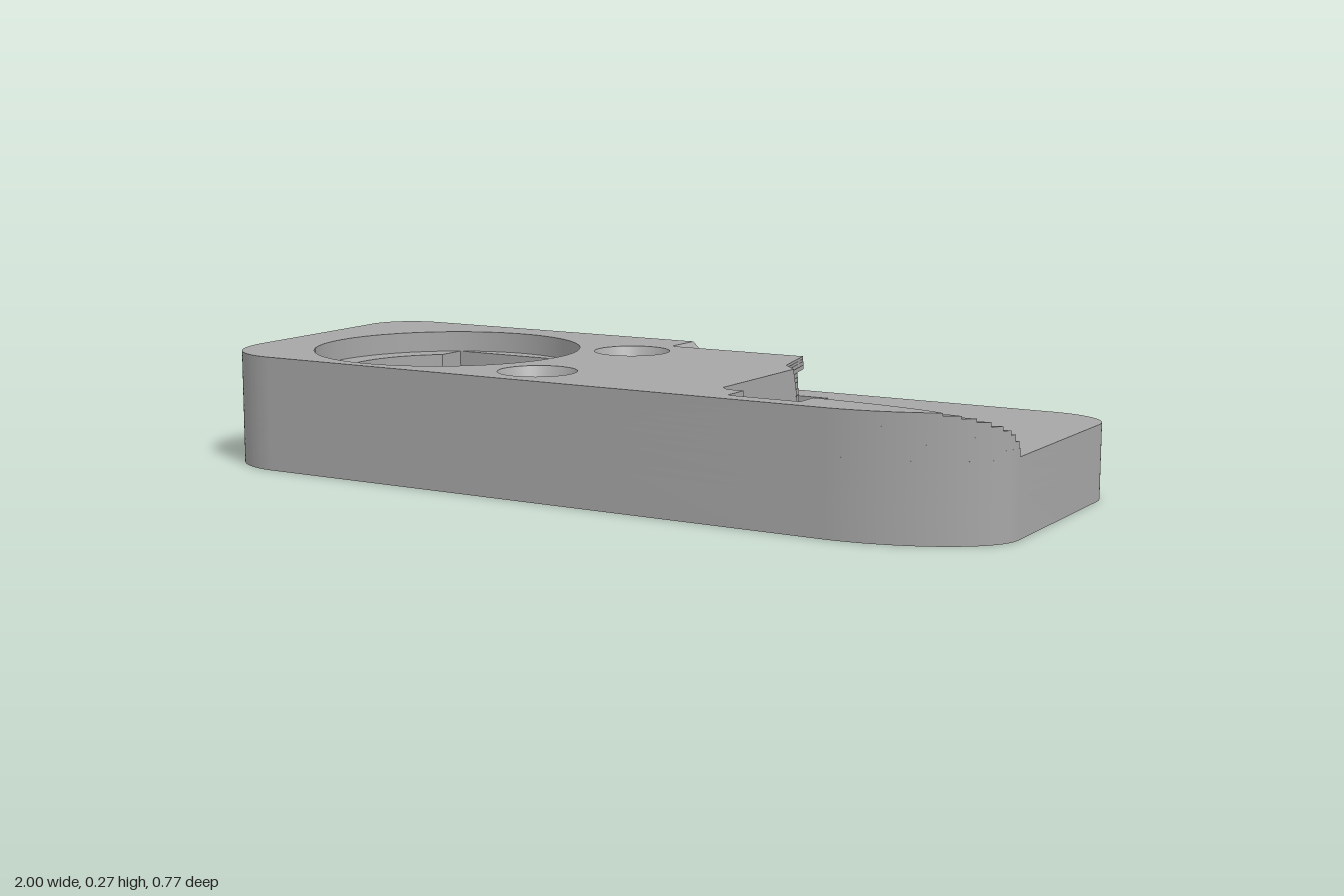
import * as THREE from 'three';
import { toCreasedNormals } from 'three/addons/utils/BufferGeometryUtils.js';

const HEIGHT = 0.27, FLOOR = 0.172, BACK = -0.385, FRONT = 0.385;
const RING = { x: -0.537, z: 0.03 };          // centre of the large bore
const SCREWS = [-0.155, 0.25];                // z of the countersunk holes
const SCREW_X = -0.127, CONE_BASE = 0.19;

// Rounded front right corner of the plate, as a curve in (x, z)
const nose = new THREE.CubicBezierCurve(
  new THREE.Vector2(0.65, FRONT), new THREE.Vector2(0.82, FRONT),
  new THREE.Vector2(1, 0.29), new THREE.Vector2(1, 0.19));

// Left end of the plate, drawn from the back edge round to the nose
function leftEnd(shape, startX) {
  shape.moveTo(startX, BACK);
  shape.lineTo(-0.87, BACK);
  shape.bezierCurveTo(-0.94, BACK, -1, -0.34, -1, -0.27);
  shape.lineTo(-0.98, 0.2);
  shape.bezierCurveTo(-0.97, 0.31, -0.9, FRONT, -0.79, FRONT);
  shape.lineTo(0.65, FRONT);
}

function fullOutline() {
  const s = new THREE.Shape();
  leftEnd(s, 0.85);
  nose.getPoints(24).slice(1).forEach(p => s.lineTo(p.x, p.y));
  s.lineTo(1, -0.27);
  s.bezierCurveTo(1, -0.34, 0.93, BACK, 0.85, BACK);
  return s;
}

// Raised part beside the recess; t runs from recess floor (0) to top (1)
function raisedOutline(t, undercut) {
  const s = new THREE.Shape(), u = 1 - 0.5 * Math.pow(t, 2.5), r = 1 - t;
  leftEnd(s, -0.09);
  for (let i = 1; i <= 20; i++) {
    const p = nose.getPoint(u * i / 20);
    s.lineTo(p.x, p.y);
  }
  s.quadraticCurveTo(0.8, 0.31 - 0.02 * t, 0.58, 0.28);
  const wall = [[0.58, 0.34], [0.41, 0.34], [0.41, 0.27], [0.37, 0.27], [0.35, 0.25],
    [0.35, -0.075 - 0.025 * r], [0.305 + 0.01 * r, -0.125 - 0.02 * r]];
  if (undercut) wall.push([0.284 + 0.01 * r, -0.215], [0.02, -0.215], [0.02, -0.28]);
  else wall.push([0.268 + 0.01 * r, -0.28]);
  wall.push([-0.09, -0.28]);
  wall.forEach(([x, z]) => s.lineTo(x, z));
  s.closePath();
  return s;
}

function circle(x, z, radius) {
  return new THREE.Path().absarc(x, z, radius, 0, Math.PI * 2, false);
}

function rectangle(x0, x1, z0, z1) {
  return new THREE.Path([[x0, z0], [x1, z0], [x1, z1], [x0, z1]]
    .map(([x, z]) => new THREE.Vector2(x, z)));
}

// Bore with a square key notch at the back and a narrower one in front
function keyedBore(radius) {
  const { x, z } = RING, back = 0.1625, front = 0.12;
  const a = Math.acos(front / radius), b = Math.acos(back / radius);
  const p = new THREE.Path();
  p.absarc(x, z, radius, -b, a, false);
  p.lineTo(x + front, z + 0.28);
  p.lineTo(x - front, z + 0.28);
  p.absarc(x, z, radius, Math.PI - a, Math.PI + b, false);
  p.lineTo(x - back, z - 0.275);
  p.lineTo(x + back, z - 0.275);
  p.closePath();
  return p;
}

function slab(shape, y0, y1, holes) {
  shape.holes = holes;
  const g = new THREE.ExtrudeGeometry(shape,
    { depth: y1 - y0, bevelEnabled: false, curveSegments: 40 });
  g.rotateX(Math.PI / 2);
  g.translate(0, y1, 0);
  return toCreasedNormals(g, 0.4);
}

export function createModel() {
  const group = new THREE.Group();
  const grey = new THREE.MeshStandardMaterial({ color: 0xa6a6a6 });
  grey.name = 'grey';
  const add = (name, geometry) => {
    const mesh = new THREE.Mesh(geometry, grey);
    mesh.name = name;
    group.add(mesh);
  };
  const screwHoles = r => SCREWS.map(z => circle(SCREW_X, z, r));

  // Lower plate: bore, groove, key notches and shallow floor pockets
  const lower = [0, 0.09, 0.11, 0.15, FLOOR];
  for (let i = 0; i < 4; i++) {
    const bore = i === 0 ? circle(RING.x, RING.z, 0.255)
      : keyedBore(i === 1 ? 0.27 : 0.255);
    const holes = [bore, circle(0.525, 0.095, 0.037), ...screwHoles(0.048)];
    if (i === 3) {
      holes.push(rectangle(0.02, 0.325, -0.3, -0.215));
      holes.push(rectangle(0.41, 0.58, 0.225, 0.34));
    }
    add('basePlate' + (i + 1), slab(fullOutline(), lower[i], lower[i + 1], holes));
  }

  // Raised body in thin steps that shape the recess wall
  const upper = [FLOOR, CONE_BASE, 0.205, 0.22, 0.23, 0.24, 0.25, 0.258, 0.264, HEIGHT];
  for (let i = 0; i < upper.length - 1; i++) {
    const y0 = upper[i], y1 = upper[i + 1];
    const bore = y0 >= 0.22 ? circle(RING.x, RING.z, 0.32) : keyedBore(0.255);
    const screws = screwHoles(y0 >= CONE_BASE ? 0.09 : 0.048);
    const t = i / (upper.length - 2) * 0.15 + (y1 - FLOOR) / (HEIGHT - FLOOR) * 0.85;
    add('raisedBody' + (i + 1),
      slab(raisedOutline(t, y1 <= 0.2401), y0, y1, [bore, ...screws]));
  }

  // Conical seats of the screw holes, facing inward
  for (const z of SCREWS) {
    const cone = new THREE.LatheGeometry(
      [new THREE.Vector2(0.09, HEIGHT), new THREE.Vector2(0.048, CONE_BASE)], 40);
    cone.translate(SCREW_X, 0, z);
    add('countersink', cone);
  }

  // Sloping ramp at the back edge
  const ramp = new THREE.Shape([[-0.09, FLOOR], [0.01, FLOOR], [-0.09, HEIGHT]]
    .map(([x, y]) => new THREE.Vector2(x, y)));
  const rampGeometry = new THREE.ExtrudeGeometry(ramp, { depth: 0.105, bevelEnabled: false });
  rampGeometry.translate(0, 0, BACK);
  add('ramp', rampGeometry);

  return group;
}
